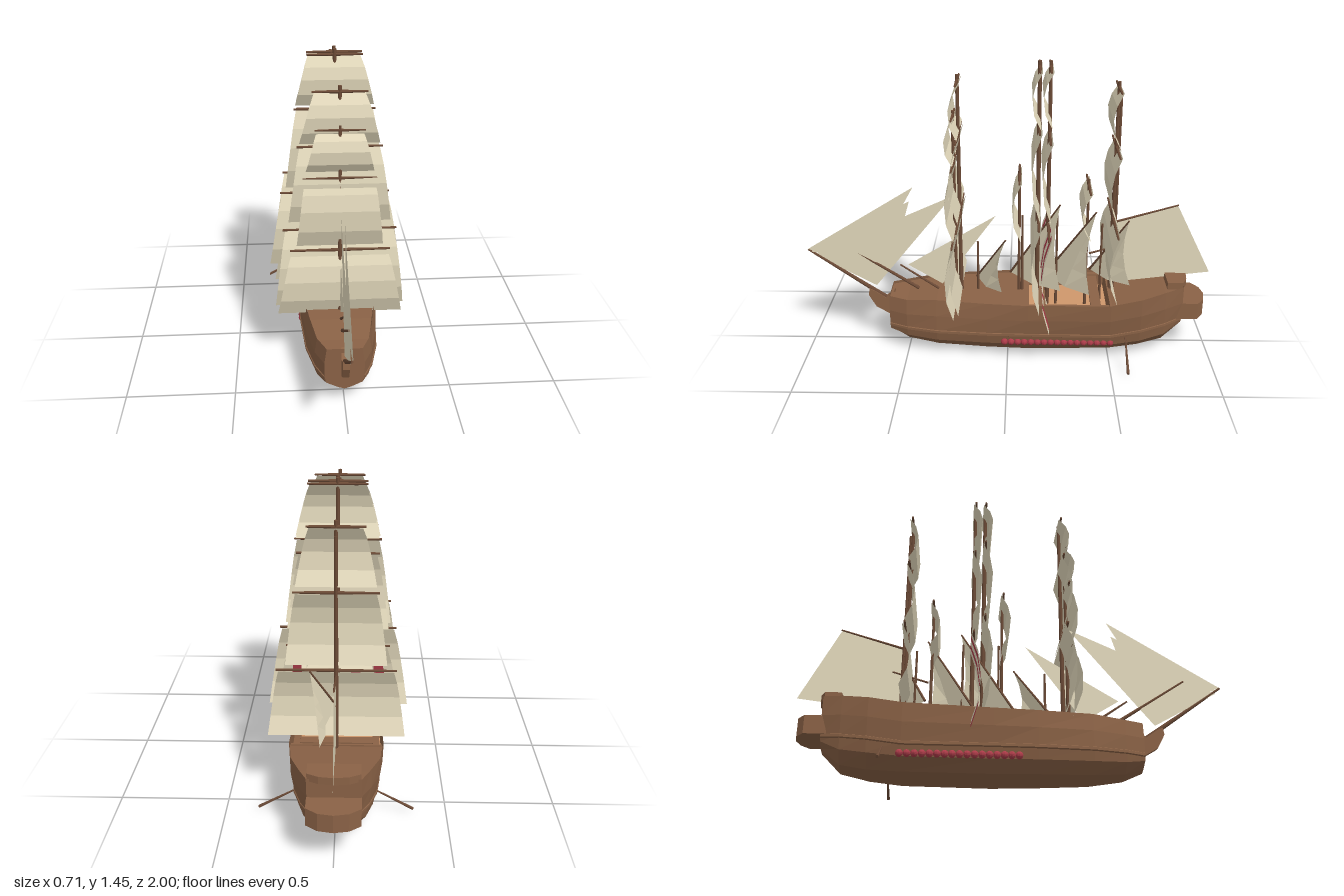
import * as THREE from 'three';

const mat = (name, color, extra = {}) =>
  Object.assign(new THREE.MeshStandardMaterial({ color, flatShading: true, ...extra }), { name });
const two = { side: THREE.DoubleSide };

export function createModel() {
  const model = new THREE.Group();
  model.name = 'sailingShip';
  const wood = mat('hull brown', 0x8a6246, two);
  const dark = mat('spar brown', 0x6b4a36);
  const tan = mat('deck tan', 0xcf976b, two);
  const canvas = mat('canvas', 0xe4dabd, two);
  const red = mat('red', 0xac3c49, two);
  const V = (x, y, z) => new THREE.Vector3(x, y, z);

  const add = (name, geo, material, parent = model) => {
    const m = new THREE.Mesh(geo, material);
    m.name = name;
    parent.add(m);
    return m;
  };
  const group = (name) => {
    const g = new THREE.Group();
    g.name = name;
    model.add(g);
    return g;
  };
  // Surface through rows of equal point counts
  const loft = (rows) => {
    const pos = [], idx = [], n = rows[0].length;
    rows.forEach((r) => r.forEach((p) => pos.push(p.x, p.y, p.z)));
    for (let i = 0; i < rows.length - 1; i++)
      for (let j = 0; j < n - 1; j++) {
        const a = i * n + j, b = a + n;
        idx.push(a, b, a + 1, a + 1, b, b + 1);
      }
    const g = new THREE.BufferGeometry();
    g.setAttribute('position', new THREE.Float32BufferAttribute(pos, 3));
    g.setIndex(idx);
    g.computeVertexNormals();
    return g;
  };
  const spar = (name, a, b, r0, r1, parent = model) => {
    const d = b.clone().sub(a);
    const m = add(name, new THREE.CylinderGeometry(r1, r0, d.length(), 8), dark, parent);
    m.position.copy(a).add(b).multiplyScalar(0.5);
    m.quaternion.setFromUnitVectors(V(0, 1, 0), d.normalize());
  };
  const box = (name, w, h, d, x, y, z, material, parent) =>
    add(name, new THREE.BoxGeometry(w, h, d), material, parent).position.set(x, y, z);

  // Hull stations: z, keel y, floor half width, wale half width, rail half width, rail y
  const stations = [
    [0.59, 0.07, 0.03, 0.09, 0.08, 0.285], [0.5, 0.03, 0.07, 0.13, 0.12, 0.285],
    [0.35, 0.012, 0.1, 0.165, 0.148, 0.3], [0.1, 0.005, 0.12, 0.185, 0.182, 0.3],
    [-0.1, 0, 0.125, 0.19, 0.2, 0.3], [-0.5, 0.005, 0.12, 0.195, 0.213, 0.31],
    [-0.65, 0.015, 0.1, 0.18, 0.197, 0.335], [-0.77, 0.04, 0.08, 0.145, 0.155, 0.355],
    [-0.86, 0.13, 0.05, 0.1, 0.115, 0.365],
  ];
  const waleY = (z) => 0.135 + Math.max(0, -z - 0.5) * 0.15;
  const section = ([z, k, wf, ww, wt, yt]) => {
    const y = waleY(z);
    const half = [
      [wt, yt], [wt * 0.5 + ww * 0.5 + 0.006, (y + yt) / 2], [ww, y],
      [ww * 0.92, k + (y - k) * 0.55], [wf, k + (y - k) * 0.15],
    ].map(([a, b]) => V(a, b, z));
    return [...half, V(0, k, z), ...half.map((p) => V(-p.x, p.y, z)).reverse()];
  };
  const rows = stations.map(section);
  const flatEnd = (r) => r.map((p) => V(0, p.y, p.z));
  add('hull', loft([flatEnd(rows[0]), ...rows, flatEnd(rows[rows.length - 1])]), wood);
  for (const s of [-1, 1])
    add('wale', loft(stations.map(([z, , , ww]) => [
      V(s * (ww - 0.006), waleY(z) - 0.014, z), V(s * (ww + 0.004), waleY(z) - 0.008, z),
      V(s * (ww + 0.004), waleY(z) + 0.004, z), V(s * (ww - 0.002), waleY(z) + 0.008, z),
    ])), wood);

  // Decks: raised fore and aft, sunken waist between
  const deck = (name, part, material, y) => add(name, loft(part.map(([z, , , , wt, yt]) => {
    const h = y ?? yt - 0.012;
    return [V(-wt + 0.004, h, z), V(wt - 0.004, h, z)];
  })), material);
  deck('foredeck', stations.slice(0, 5), wood);
  deck('waistDeck', stations.slice(4, 6), tan, 0.21);
  deck('afterdeck', stations.slice(5), wood);
  box('foreBulkhead', 0.39, 0.09, 0.01, 0, 0.245, -0.1, wood);
  box('aftBulkhead', 0.41, 0.1, 0.01, 0, 0.255, -0.5, wood);
  for (const s of [-1, 1]) box('gangway', 0.03, 0.012, 0.4, s * 0.18, 0.285, -0.3, wood);
  for (const z of [-0.16, -0.43]) box('hatchBeam', 0.34, 0.012, 0.05, 0, 0.28, z, wood);

  // Stern gallery and rail
  const plan = new THREE.Shape([[-0.115, 0.82], [0.115, 0.82], [0.115, 0.935], [0.065, 0.97],
    [0, 0.982], [-0.065, 0.97], [-0.115, 0.935]].map(([x, y]) => new THREE.Vector2(x, y)));
  const slab = (name, h, y, sx, sz, dz) => {
    const m = add(name, new THREE.ExtrudeGeometry(plan, { depth: h, bevelEnabled: false })
      .rotateX(-Math.PI / 2), wood);
    m.scale.set(sx, 1, sz);
    m.position.set(0, y, dz);
  };
  slab('sternGallery', 0.085, 0.19, 1, 1, 0);
  slab('sternRail', 0.035, 0.352, 0.98, 0.65, -0.247);

  // Flat fore-and-aft shapes given as [z, y]
  const side = (pts) => new THREE.Shape(pts.map(([z, y]) => new THREE.Vector2(z, y)));
  const stem = new THREE.ExtrudeGeometry(side([[0.57, 0.28], [0.62, 0.24], [0.67, 0.275], [0.7, 0.29],
    [0.705, 0.255], [0.67, 0.19], [0.57, 0.13]]), { depth: 0.03, bevelEnabled: false });
  add('stemKnee', stem.translate(0, 0, -0.015).rotateY(-Math.PI / 2), wood);
  const flatSail = (name, pts, x = 0, lean = 0) => {
    const m = add(name, new THREE.ShapeGeometry(side(pts)).rotateY(-Math.PI / 2), canvas);
    m.position.x = x;
    m.rotation.z = lean;
  };
  flatSail('flyingJib', [[1, 0.5], [0.46, 0.836], [0.68, 0.44]], -0.008, -0.02);
  flatSail('outerJib', [[0.98, 0.49], [0.48, 0.765], [0.58, 0.42]], -0.004, -0.02);
  flatSail('innerJib', [[0.97, 0.47], [0.27, 0.79], [0.665, 0.3]], -0.012, -0.02);
  flatSail('foreStaysail', [[0.5, 0.42], [0.06, 0.69], [0.33, 0.315]], -0.008, -0.02);
  flatSail('spanker', [[-0.53, 0.66], [-0.82, 0.75], [-1, 0.395], [-0.53, 0.335]]);
  spar('bowsprit', V(0, 0.21, 0.58), V(0, 0.5, 0.995), 0.013, 0.005);
  spar('innerBowsprit', V(0, 0.29, 0.45), V(0, 0.53, 0.82), 0.009, 0.005);
  spar('shortBowsprit', V(0, 0.29, 0.35), V(0, 0.42, 0.54), 0.007, 0.004);
  spar('gaff', V(0, 0.66, -0.52), V(0, 0.75, -0.825), 0.006, 0.004);
  spar('shortGaff', V(0, 0.49, -0.4), V(0, 0.54, -0.57), 0.005, 0.004);

  // Billowing square sail bent to a yard; striped sails alternate material columns
  const bands = [[0, -0.012], [0.22, 0.02], [0.45, 0.034], [0.75, 0.026], [1, -0.006]];
  const plain = [-1, 1], striped = [-1, -0.83, -0.65, -0.41, -0.23, 0.23, 0.41, 0.65, 0.83, 1];
  const squareSail = (g, z, [yt, yb, wt, wb], cols) => {
    for (let c = 0; c < cols.length - 1; c++)
      add('squareSail', loft(bands.map(([t, b]) => {
        const w = wt + (wb - wt) * Math.pow(t, 0.8), y = yt + (yb - yt) * t;
        return [V(cols[c] * w, y, z + b), V(cols[c + 1] * w, y, z + b)];
      })), c % 2 ? red : canvas, g);
    for (const s of [-1, 1])
      spar('yard', V(0, yt + 0.003, z), V(s * (wt + 0.012), yt + 0.003, z), 0.008, 0.005, g);
  };
  // Masts: name, z, height, radius, sails [top y, bottom y, top half, bottom half]
  const masts = [
    ['foreMastFront', 0.26, 1.215, 0.01, [[1.19, 0.99, 0.1, 0.155], [0.965, 0.63, 0.155, 0.2], [0.605, 0.27, 0.22, 0.295]]],
    ['foreMast', 0.235, 1.385, 0.011, [[1.355, 1.12, 0.11, 0.18], [1.105, 0.74, 0.178, 0.235], [0.7, 0.3, 0.25, 0.305]]],
    ['mainMast', -0.145, 1.45, 0.012, [[1.42, 1.175, 0.12, 0.19], [1.155, 0.75, 0.185, 0.245], [0.72, 0.32, 0.262, 0.335]]],
    ['mainMastAft', -0.195, 1.45, 0.011, [[1.42, 1.18, 0.12, 0.185], [1.105, 0.74, 0.175, 0.235], [0.65, 0.2, 0.23, 0.312]]],
    ['mizzenMast', -0.51, 1.355, 0.011, [[1.325, 1.07, 0.11, 0.17], [1.04, 0.71, 0.17, 0.22], [0.68, 0.36, 0.25, 0.305]]],
    ['mizzenMastAft', -0.522, 1.29, 0.009, []],
    ['smallForeMast', -0.055, 0.935, 0.008, [[0.9, 0.62, 0.13, 0.16]]],
    ['smallAftMast', -0.387, 0.88, 0.008, [[0.85, 0.62, 0.13, 0.16]]],
  ];
  for (const [name, z, h, r, sails] of masts) {
    const g = group(name);
    spar('mast', V(0, 0.2, z), V(0, h, z), r, r * 0.75, g);
    for (const s of sails) squareSail(g, z, s, s[1] === 0.2 ? striped : plain);
  }

  // Lateen rigs: mast z, mast height, yard foot, yard peak, clew
  const lateens = [
    [0.15, 0.55, [-0.08, 0.32, 0.16], [0.12, 0.61, 0.01], [0.08, 0.31, 0.03]],
    [-0.07, 0.69, [-0.13, 0.32, -0.01], [0.06, 0.77, -0.25], [0.04, 0.3, -0.26]],
    [-0.24, 0.69, [-0.06, 0.35, -0.19], [0.15, 0.77, -0.415], [0.1, 0.31, -0.4]],
    [-0.46, 0.65, [-0.05, 0.38, -0.41], [0.11, 0.71, -0.575], [0.07, 0.35, -0.6]],
  ];
  for (const [z, h, f, p, c] of lateens) {
    const g = group('lateenRig'), foot = V(...f), peak = V(...p), clew = V(...c);
    spar('lateenMast', V(0, 0.2, z), V(0, h, z), 0.007, 0.005, g);
    spar('lateenYard', foot, peak, 0.006, 0.004, g);
    add('lateenSail', loft([0, 0.25, 0.5, 0.75, 1].map((t) => {
      const a = peak.clone().lerp(foot, t), b = peak.clone().lerp(clew, t);
      const mid = a.clone().lerp(b, 0.5).add(V(0.03 * t, 0, 0.015 * t));
      b.z += 0.03 * Math.sin(Math.PI * t);
      return [a, mid, b];
    })), canvas, g);
  }

  // Row of red shields and a steering oar on each side
  for (const s of [-1, 1]) {
    const g = group(s > 0 ? 'leftShields' : 'rightShields');
    for (let i = 0; i < 17; i++) {
      const m = add('shield', new THREE.SphereGeometry(0.0175, 10, 8), red, g);
      m.position.set(s * 0.178, 0.09, 0.015 - i * 0.0325);
    }
    spar('steeringOar', V(s * 0.15, 0.135, -0.58), V(s * 0.35, 0.02, -0.58), 0.003, 0.007);
  }
  return model;
}
